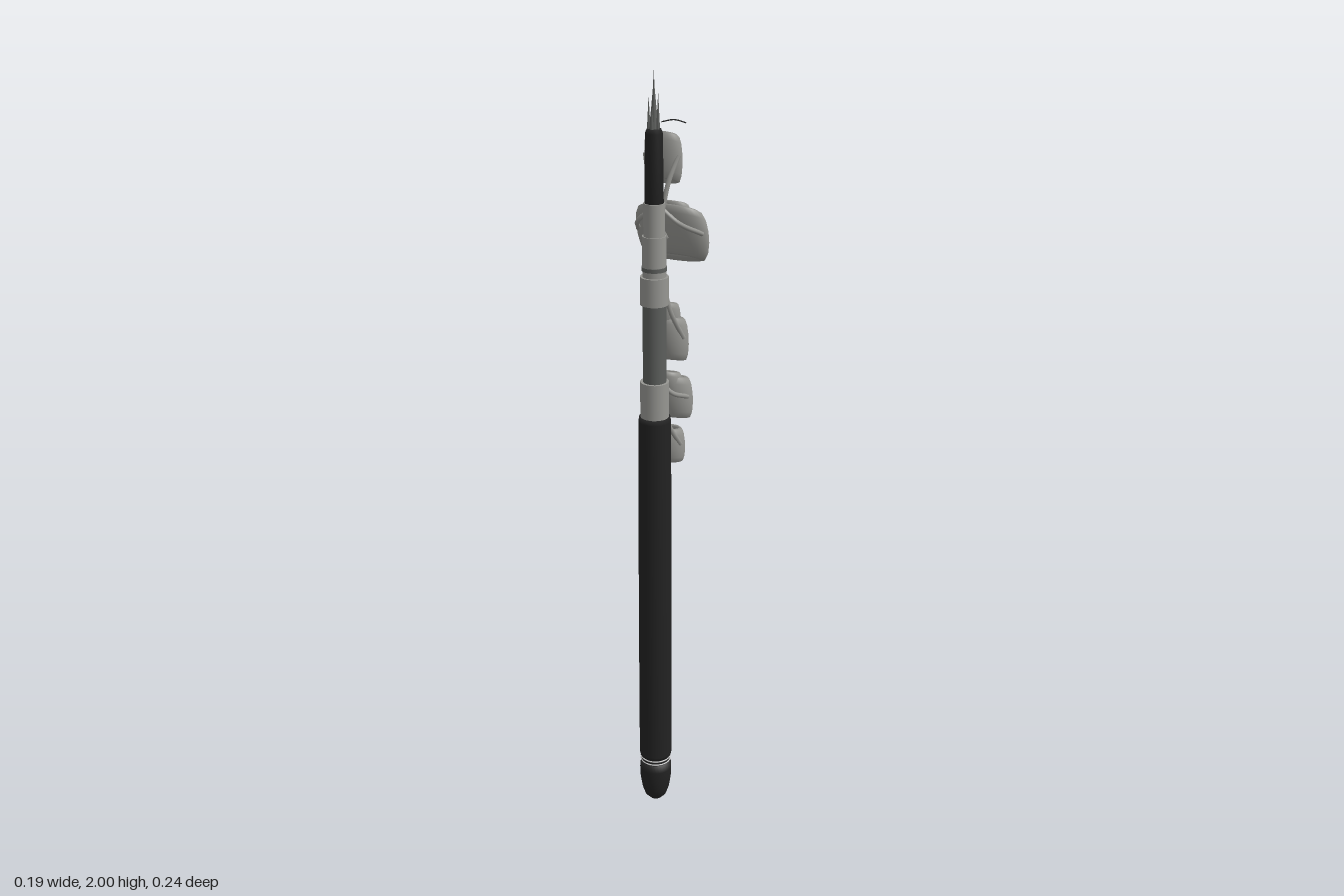
import * as THREE from 'three';

const mat = (name, color, side = THREE.FrontSide) => {
  const m = new THREE.MeshStandardMaterial({ color, side });
  m.name = name;
  return m;
};

export function createModel() {
  const black = mat('black grip', 0x222222);
  const grey = mat('satin grey', 0x969692);
  const darkGrey = mat('dark grey', 0x5c5e5c);
  const silver = mat('silver trim', 0xc8c8c8);
  const model = new THREE.Group();
  const rodZ = 0.074;

  const add = (name, geometry, material, parent = model) => {
    const mesh = new THREE.Mesh(geometry, material);
    mesh.name = name;
    parent.add(mesh);
    return mesh;
  };
  // Turned part on the rod axis, given as [radius, height] pairs
  const turned = (name, points, material) => {
    const g = new THREE.LatheGeometry(points.map(p => new THREE.Vector2(...p)), 32);
    add(name, g, material).position.z = rodZ;
  };
  // Straight sleeve; short bevels close both ends
  const sleeve = (name, y0, y1, r, material) => {
    const g = new THREE.CylinderGeometry(r, r, y1 - y0, 32);
    add(name, g, material).position.set(0, (y0 + y1) / 2, rodZ);
  };
  const wire = (name, points, r, material, parent = model) => {
    const curve = new THREE.CatmullRomCurve3(points.map(p => new THREE.Vector3(...p)));
    add(name, new THREE.TubeGeometry(curve, 16, r, 8), material, parent);
  };

  // Rounded butt cap and its trim rings
  turned('buttCap', [[0, 0], [0.016, 0.004], [0.029, 0.018], [0.037, 0.042],
    [0.042, 0.075], [0.043, 0.105], [0.041, 0.127], [0, 0.127]], black);
  sleeve('buttNeck', 0.12, 0.15, 0.039, black);
  for (const y of [0.131, 0.141]) {
    const ring = add('buttTrim', new THREE.TorusGeometry(0.0395, 0.002, 6, 40), silver);
    ring.rotation.x = Math.PI / 2;
    ring.position.set(0, y, rodZ);
  }

  // Long handle and the collapsed sections above it
  turned('handle', [[0, 0.145], [0.041, 0.145], [0.0435, 0.155], [0.0435, 0.6],
    [0.041, 1.135], [0.039, 1.147], [0, 1.147]], black);
  sleeve('lowerCollar', 1.145, 1.24, 0.036, grey);
  sleeve('middleSection', 1.235, 1.45, 0.029, darkGrey);
  sleeve('middleCollar', 1.44, 1.51, 0.035, grey);
  sleeve('upperSection', 1.505, 1.61, 0.029, grey);
  sleeve('upperJoint', 1.525, 1.535, 0.031, darkGrey);
  sleeve('upperCollar', 1.6, 1.69, 0.026, grey);
  turned('topSection', [[0, 1.685], [0.023, 1.685], [0.021, 1.855], [0.017, 1.865], [0, 1.865]], black);

  // Needle-thin tip with loose strands around it
  turned('tip', [[0.012, 1.86], [0.006, 1.915], [0.002, 1.96], [0, 2]], darkGrey);
  for (let i = 0; i < 5; i++) {
    const a = i * Math.PI * 0.4, h = 0.065 + (i * 2 % 5) * 0.006;
    const strand = add('tipStrand', new THREE.ConeGeometry(0.0045, h, 6), darkGrey);
    strand.position.set(Math.sin(a) * 0.012, 1.86 + h / 2, rodZ + Math.cos(a) * 0.012);
  }

  // Thick rounded ring, skewed so its rear edge hangs lower
  const profile = [[0.6, -0.42], [0.7, -0.5], [0.82, -0.48], [0.93, -0.34], [0.99, -0.12],
    [1, 0.1], [0.96, 0.32], [0.87, 0.46], [0.76, 0.5], [0.65, 0.44], [0.58, 0.2], [0.56, -0.1], [0.6, -0.42]];
  const barrel = (name, { y, z, rx, rz, h, slope, shear }, parent) => {
    const g = new THREE.LatheGeometry(profile.map(p => new THREE.Vector2(...p)), 40);
    g.scale(rx, h, rz);
    g.applyMatrix4(new THREE.Matrix4().set(1, 0, 0, 0, 0, 1, slope, 0, 0, shear, 1, 0, 0, 0, 0, 1));
    add(name, g, grey, parent).position.set(0, y, z);
  };

  // Line guides, with the height where their legs meet the rod
  const guides = [
    { name: 'topGuide', y: 1.785, z: 0.011, rx: 0.047, rz: 0.031, h: 0.115, slope: 0.5, shear: 0.08, legY: 1.67, rodR: 0.026 },
    { name: 'largeGuide', y: 1.585, z: -0.053, rx: 0.093, rz: 0.055, h: 0.135, slope: 0.5, shear: 0.3, legY: 1.67, rodR: 0.026 },
    { name: 'thirdGuide', y: 1.322, z: -0.027, rx: 0.05, rz: 0.049, h: 0.12, slope: 0.3, shear: 0.15, legY: 1.48, rodR: 0.035 },
    { name: 'fourthGuide', y: 1.158, z: -0.048, rx: 0.055, rz: 0.05, h: 0.12, slope: 0.3, shear: 0.15, legY: 1.22, rodR: 0.036 },
    { name: 'lowestGuide', y: 1.036, z: -0.021, rx: 0.044, rz: 0.046, h: 0.1, slope: 0.2, shear: 0.15, legY: 1.16, rodR: 0.036 },
  ];
  for (const s of guides) {
    const group = new THREE.Group();
    group.name = s.name;
    model.add(group);
    barrel('guideRing', s, group);
    const zFoot = rodZ - s.rodR;
    for (const side of [-1, 1]) {
      wire('guideLeg', [
        [side * 0.014, s.legY, zFoot + 0.006],
        [side * s.rx * 0.55, (s.legY + s.y) / 2 + 0.01, zFoot - 0.004],
        [side * s.rx * 0.9, s.y + 0.01, s.z + s.rz * 0.35]], 0.006, grey, group);
    }
    // Central foot joining ring and rod
    wire('guideFoot', [[0, s.legY, zFoot + 0.004], [0, (s.legY + s.y) / 2, zFoot - 0.008],
      [0, s.y, s.z + s.rz * 0.85]], 0.006, grey, group);
  }

  // Inner liners standing proud of the bigger rings
  barrel('largeLiner', { y: 1.625, z: -0.04, rx: 0.056, rz: 0.036, h: 0.09, slope: 0.4, shear: 0.3 }, model);
  barrel('thirdLiner', { y: 1.378, z: -0.01, rx: 0.036, rz: 0.036, h: 0.09, slope: 0.3, shear: 0.15 }, model);
  barrel('fourthLiner', { y: 1.2, z: -0.025, rx: 0.036, rz: 0.036, h: 0.07, slope: 0.3, shear: 0.15 }, model);

  // Fine loose line end behind the top guide
  wire('lineEnd', [[-0.03, 1.855, -0.056], [0, 1.861, -0.062], [0.03, 1.855, -0.064]], 0.0015, black);

  return model;
}
